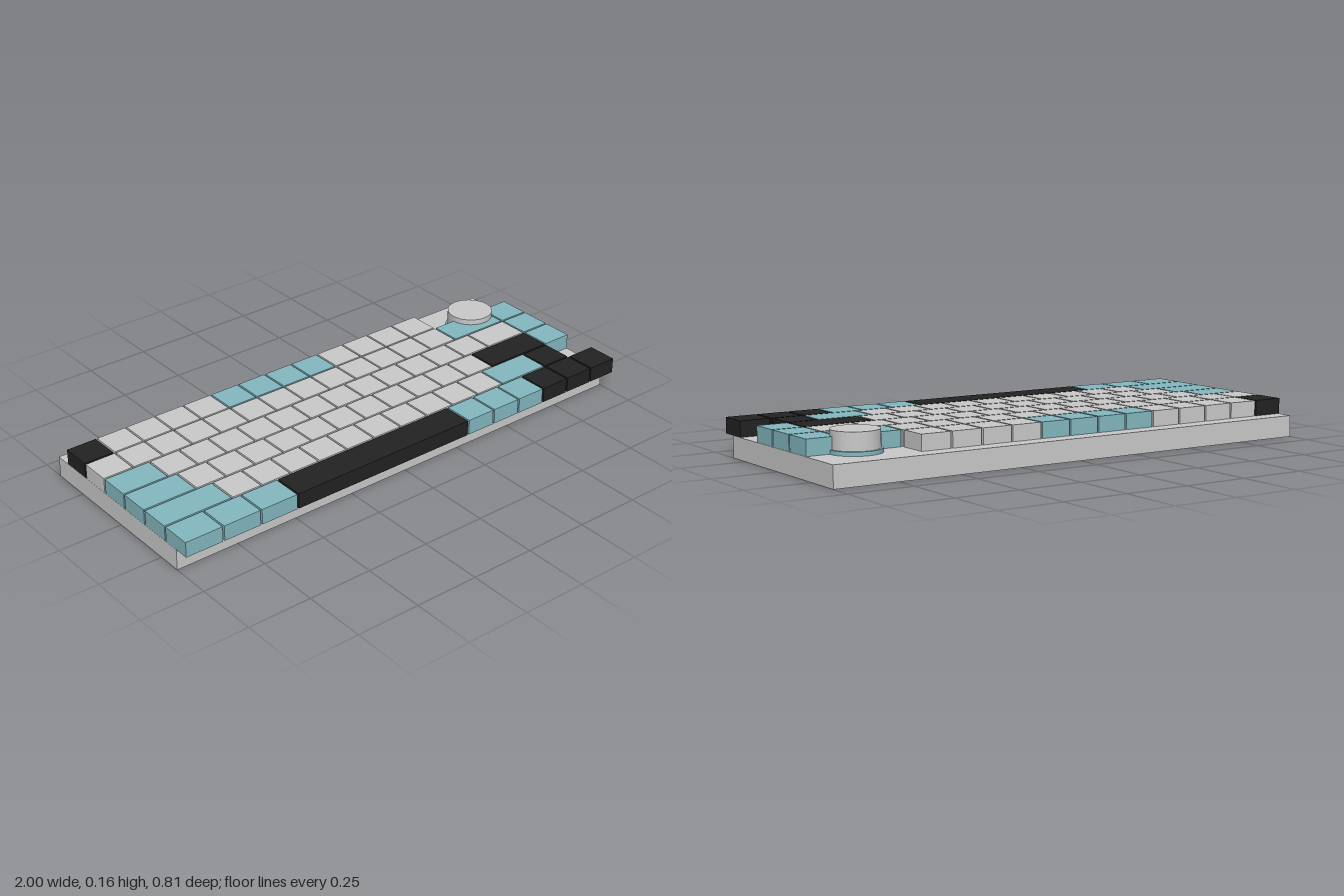
import * as THREE from 'three';

const U = 0.1254;      // one key unit across
const ROW = 0.125;     // row pitch
const GAP = 0.007;
const CASE_TOP = 0.082;
const KEY_TOP = 0.1425;

function makeMaterial(name, color) {
  const m = new THREE.MeshStandardMaterial({ color });
  m.name = name;
  return m;
}

export function createModel() {
  const grey = makeMaterial('lightGrey', 0xcacaca);
  const teal = makeMaterial('teal', 0x84b8c0);
  const black = makeMaterial('black', 0x222222);

  const model = new THREE.Group();
  model.name = 'keyboard';

  const add = (name, geometry, material, x, y, z, parent = model) => {
    const mesh = new THREE.Mesh(geometry, material);
    mesh.name = name;
    mesh.position.set(x, y, z);
    parent.add(mesh);
    return mesh;
  };

  // Case
  add('case', new THREE.BoxGeometry(2, CASE_TOP, 0.748), grey, 0, CASE_TOP / 2, -0.029);

  // Key rows from back to front: [count, width in units, colour]
  const rows = [
    [[1, 1, black], [4, 1, grey], [4, 1, teal], [4, 1, grey]],
    [[13, 1, grey], [1, 2, teal], [1, 1, teal]],
    [[1, 1.5, teal], [12, 1, grey], [1, 1.5, grey], [1, 1, teal]],
    [[1, 1.75, teal], [11, 1, grey], [1, 2.25, black], [1, 1, teal]],
    [[1, 2.25, teal], [10, 1, grey], [1, 1.75, teal], [1, 1, black]],
    [[3, 1.25, teal], [1, 6.25, black], [3, 1, teal], [3, 1, black]],
  ];
  const keyHeight = KEY_TOP - CASE_TOP - 0.0005;
  rows.forEach((runs, r) => {
    const row = new THREE.Group();
    row.name = `keyRow${r + 1}`;
    model.add(row);
    const z = -0.28 + r * ROW;
    let x = -1;
    for (const [count, width, material] of runs) {
      for (let i = 0; i < count; i++) {
        const w = width * U - GAP;
        add('key', new THREE.BoxGeometry(w, keyHeight, ROW - GAP), material,
          x + w / 2, KEY_TOP - keyHeight / 2, z, row);
        x += width * U;
      }
    }
  });

  // Rotary knob on its coloured base ring
  const knob = new THREE.Group();
  knob.name = 'knob';
  knob.position.set(0.812, CASE_TOP, -0.216);
  model.add(knob);
  add('knobBase', new THREE.CylinderGeometry(0.097, 0.097, 0.015, 48), teal, 0, 0.0075, 0, knob);
  add('knobCap', new THREE.CylinderGeometry(0.0885, 0.0885, 0.082, 48), grey, 0, 0.041, 0, knob);

  return model;
}
